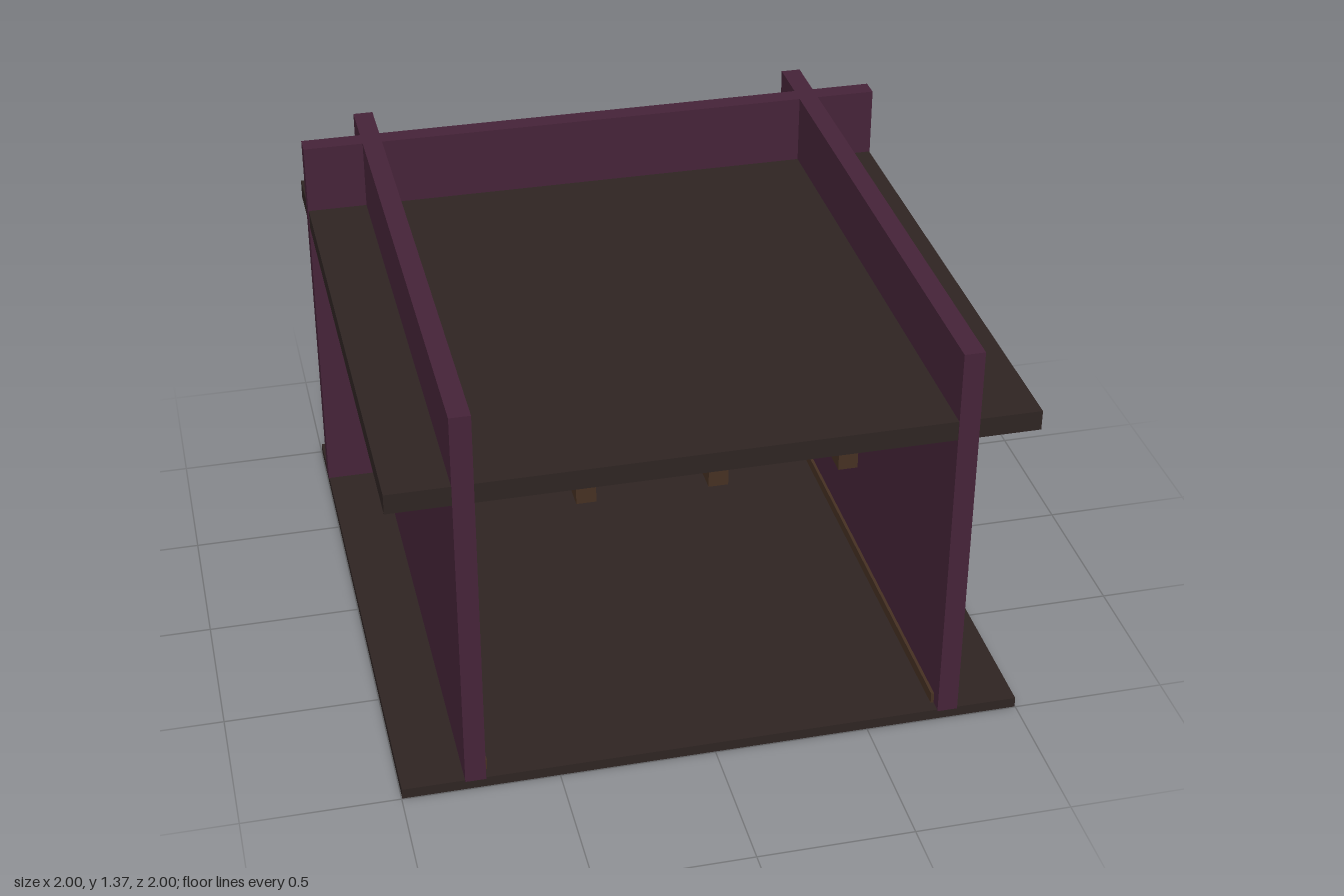
import * as THREE from 'three';

const mat = (name, color) => {
  const m = new THREE.MeshStandardMaterial({ color });
  m.name = name;
  return m;
};

export function createModel() {
  const purple = mat('plum wall', 0x452338);
  const dark = mat('dark timber', 0x2e2422);
  const brown = mat('brown wood', 0x453022);
  const shelfWood = mat('shelf wood', 0x3a231f);
  const glass = mat('dark glass', 0x2a2830);
  const amber = mat('amber glass', 0x4a2c1c);
  const metal = mat('dark metal', 0x211a18);

  const room = new THREE.Group();
  room.name = 'room';

  const group = (name) => {
    const g = new THREE.Group();
    g.name = name;
    room.add(g);
    return g;
  };
  // box given by its lower and upper bounds on each axis
  const box = (parent, name, m, [x0, x1], [y0, y1], [z0, z1]) => {
    const mesh = new THREE.Mesh(new THREE.BoxGeometry(x1 - x0, y1 - y0, z1 - z0), m);
    mesh.position.set((x0 + x1) / 2, (y0 + y1) / 2, (z0 + z1) / 2);
    mesh.name = name;
    parent.add(mesh);
    return mesh;
  };

  // floor and ceiling slabs
  box(room, 'floor', dark, [-0.998, 0.998], [0, 0.035], [-0.998, 0.998]);
  box(room, 'ceiling', dark, [-0.998, 0.998], [1.067, 1.133], [-0.998, 0.998]);

  // crossing walls that rise past the ceiling
  const back = -0.767;
  box(room, 'backWall', purple, [-1, 1], [0.03, 1.367], [-0.833, back]);
  for (const [name, c] of [['leftWall', 0.767], ['rightWall', -0.767]])
    box(room, name, purple, [c - 0.033, c + 0.033], [0.03, 1.367], [-1, 1]);

  // ceiling beams
  const beams = group('ceilingBeams');
  for (const x of [-0.4, 0, 0.4])
    box(beams, 'beam', brown, [x - 0.03, x + 0.03], [1, 1.067], [-0.975, 0.975]);

  // baseboards around the inside
  const boards = group('baseboards');
  const by = [0.035, 0.072];
  box(boards, 'backBaseboardRight', brown, [-0.734, -0.53], by, [back, back + 0.015]);
  box(boards, 'backBaseboardLeft', brown, [-0.175, 0.734], by, [back, back + 0.015]);
  for (const s of [-1, 1]) {
    const xs = [s * 0.734, s * 0.724].sort((a, b) => a - b);
    box(boards, 'sideBaseboard', brown, xs, by, [back, 0.96]);
  }

  // door with frame, raised panels and knob
  const door = group('door');
  const frameZ = [back, back + 0.03];
  box(door, 'frameSide', brown, [-0.535, -0.505], [0.035, 0.785], frameZ);
  box(door, 'frameSide', brown, [-0.2, -0.17], [0.035, 0.785], frameZ);
  box(door, 'frameTop', brown, [-0.505, -0.2], [0.755, 0.785], frameZ);
  box(door, 'doorGap', metal, [-0.505, -0.2], [0.035, 0.755], [back, back + 0.006]);
  box(door, 'doorLeaf', brown, [-0.502, -0.203], [0.037, 0.742], [back, back + 0.018]);
  for (const x of [-0.42, -0.285]) {
    box(door, 'panelGroove', metal, [x - 0.055, x + 0.055], [0.084, 0.09], [back + 0.018, back + 0.02]);
    box(door, 'doorPanel', brown, [x - 0.055, x + 0.055], [0.09, 0.7], [back + 0.018, back + 0.024]);
  }
  const knob = new THREE.Mesh(new THREE.SphereGeometry(0.01, 12, 8), metal);
  knob.name = 'doorKnob';
  knob.position.set(-0.235, 0.37, back + 0.034);
  door.add(knob);

  // wall shelf
  const shelf = group('wallShelf');
  const shelfZ = [back, back + 0.08];
  box(shelf, 'lowerShelf', shelfWood, [0.195, 0.505], [0.51, 0.525], shelfZ);
  box(shelf, 'upperShelf', shelfWood, [0.195, 0.505], [0.663, 0.675], shelfZ);
  for (const x of [0.2, 0.5])
    box(shelf, 'shelfSide', shelfWood, [x - 0.004, x + 0.004], [0.51, 0.67], [back, back + 0.07]);

  // bottles and jars: x, base, height, radius, material, is bottle
  const items = [
    [0.253, 0.675, 0.04, 0.015, amber, false],
    [0.305, 0.675, 0.05, 0.018, amber, false],
    [0.395, 0.675, 0.085, 0.013, glass, true],
    [0.45, 0.675, 0.092, 0.013, amber, true],
    [0.235, 0.525, 0.09, 0.013, glass, true],
    [0.28, 0.525, 0.075, 0.012, amber, true],
    [0.325, 0.525, 0.1, 0.015, glass, true],
    [0.415, 0.525, 0.042, 0.015, amber, false],
    [0.46, 0.525, 0.085, 0.011, amber, true],
  ];
  for (const [x, y, h, r, m, bottle] of items) {
    const profile = bottle
      ? [[0, 0], [r, 0], [r, 0.58 * h], [0.4 * r, 0.75 * h], [0.4 * r, h], [0, h]]
      : [[0, 0], [r, 0], [r, h], [0, h]];
    const geo = new THREE.LatheGeometry(profile.map(([a, b]) => new THREE.Vector2(a, b)), 12);
    const mesh = new THREE.Mesh(geo, m);
    mesh.name = bottle ? 'bottle' : 'jar';
    mesh.position.set(x, y, back + 0.04);
    shelf.add(mesh);
  }

  return room;
}
